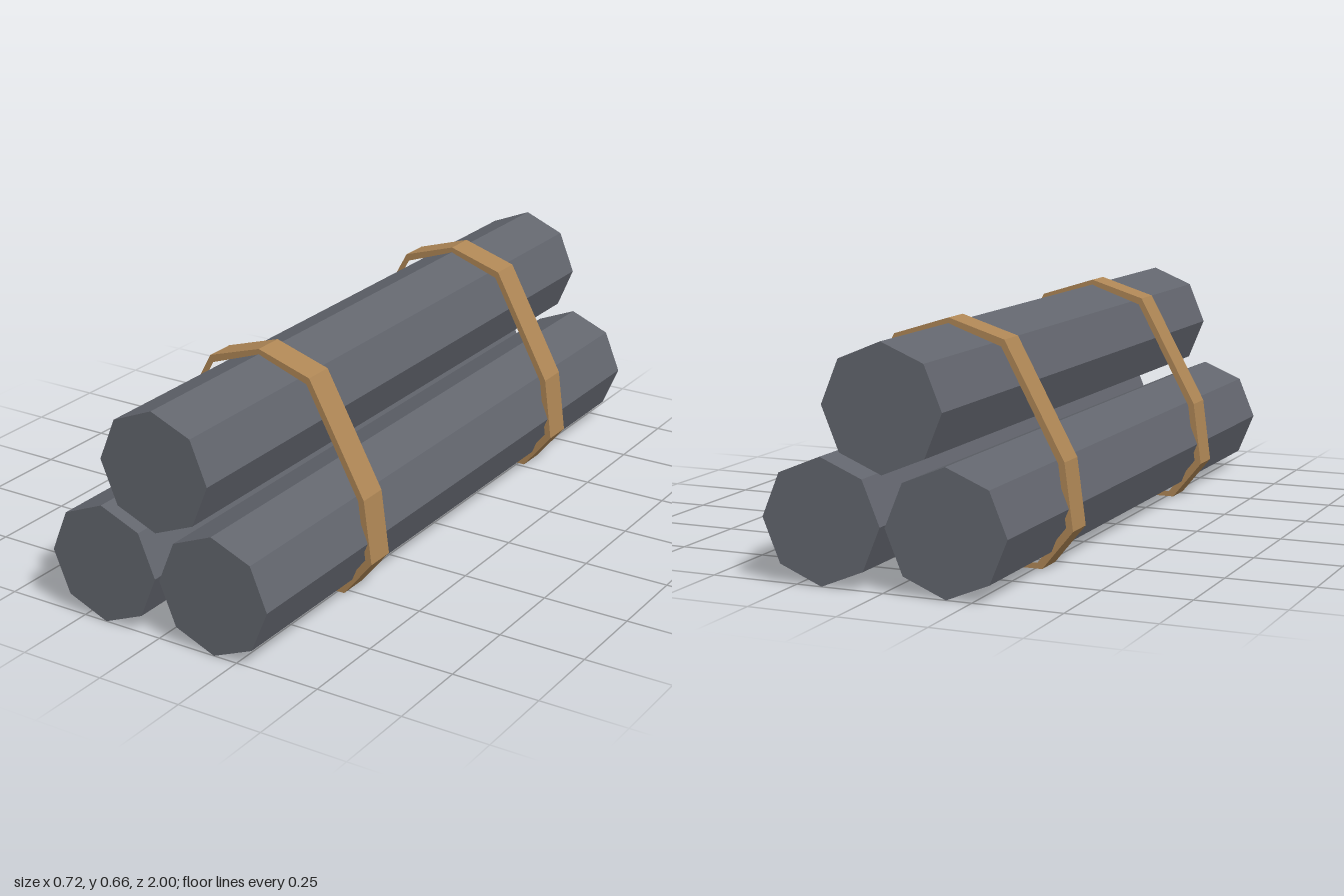
import * as THREE from 'three';

export function createModel() {
  const group = new THREE.Group();
  const slate = new THREE.MeshStandardMaterial({ color: 0x62656d, flatShading: true });
  slate.name = 'slate grey';
  const tan = new THREE.MeshStandardMaterial({ color: 0xae8655, flatShading: true });
  tan.name = 'tan strap';

  // Three eight-sided bars, two below and one resting on top
  const barGeometry = new THREE.CylinderGeometry(0.171, 0.171, 2, 8).rotateX(Math.PI / 2);
  const bars = [['leftBar', 0.178, 0.171], ['rightBar', -0.178, 0.171], ['topBar', 0, 0.478]];
  for (const [name, x, y] of bars) {
    const bar = new THREE.Mesh(barGeometry, slate);
    bar.name = name;
    bar.position.set(x, y, 0);
    group.add(bar);
  }

  // Closed outline mirrored from its top point and the +x half
  const outline = (top, half) => [
    [0, top],
    ...half,
    ...half.map(([x, y]) => [-x, y]).reverse(),
  ].map(([x, y]) => new THREE.Vector2(x, y));

  // Angular straps around the bundle
  const shape = new THREE.Shape(outline(0.664, [[0.163, 0.613], [0.336, 0.295], [0.361, 0.11], [0.272, 0.001]]));
  shape.holes.push(new THREE.Path(outline(0.648, [[0.154, 0.594], [0.318, 0.29], [0.341, 0.119], [0.258, 0.017]])));
  const strapGeometry = new THREE.ExtrudeGeometry(shape, { depth: 0.09, bevelEnabled: false });
  strapGeometry.translate(0, 0, -0.045);
  for (const [name, z] of [['frontStrap', 0.477], ['backStrap', -0.557]]) {
    const strap = new THREE.Mesh(strapGeometry, tan);
    strap.name = name;
    strap.position.z = z;
    group.add(strap);
  }
  return group;
}
